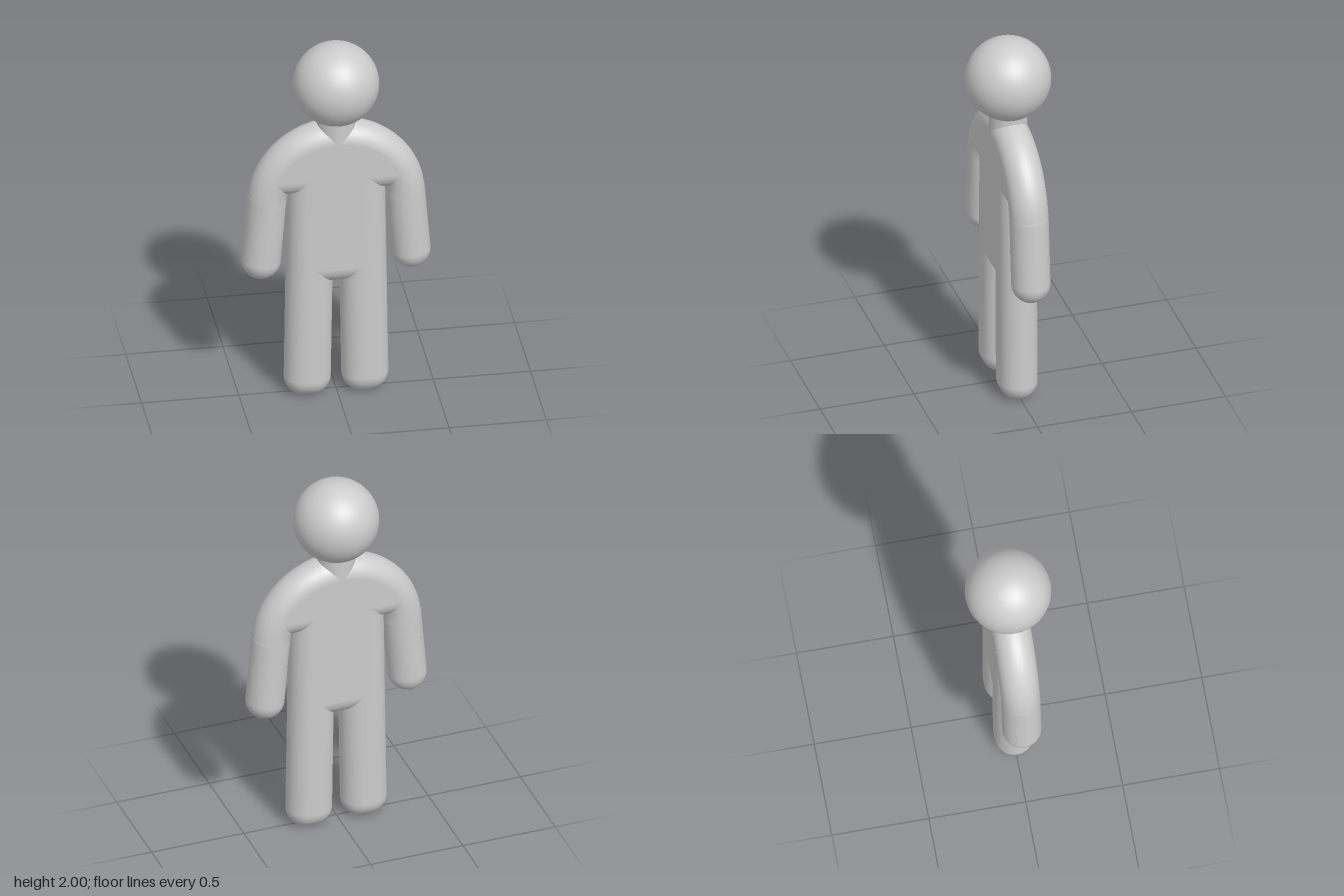
import * as THREE from 'three';

const R = 0.1;          // half thickness of the whole body
const SHOULDER_Y = 1.115; // centre of the shoulder arc
const ARC = 0.355;      // radius of the shoulder arc's centre line

export function createModel() {
  const group = new THREE.Group();
  const material = new THREE.MeshStandardMaterial({ color: 0xcccccc });

  const add = (name, geometry, x = 0, y = 0, z = 0) => {
    const mesh = new THREE.Mesh(geometry, material);
    mesh.name = name;
    mesh.position.set(x, y, z);
    group.add(mesh);
    return mesh;
  };

  // Capsule between two points in the xy plane; widen flattens it into a stadium section
  const limb = (name, x0, y0, x1, y1, widen = 0) => {
    const dx = x0 - x1, dy = y0 - y1;
    const geometry = new THREE.CapsuleGeometry(R, Math.hypot(dx, dy), 12, 40);
    const p = geometry.attributes.position;
    for (let i = 0; i < p.count; i++) {
      const x = p.getX(i);
      p.setX(i, x + widen * THREE.MathUtils.clamp(x / 0.015, -1, 1));
    }
    geometry.rotateZ(-Math.atan2(dx, dy));
    geometry.translate((x0 + x1) / 2, (y0 + y1) / 2, 0);
    // Soles are flattened on the ground
    for (let i = 0; i < p.count; i++) p.setY(i, Math.max(0, p.getY(i)));
    return add(name, geometry);
  };

  // Horizontal rounded lower edge
  const roundedEdge = (name, length, y) =>
    add(name, new THREE.CylinderGeometry(R, R, length, 40).rotateZ(Math.PI / 2), 0, y);

  // Head and neck
  add('head', new THREE.SphereGeometry(0.22, 48, 32), 0, 1.78);
  add('neck', new THREE.CylinderGeometry(R, R, 0.25, 40), 0, 1.475);

  // Shoulders: rounded arc, flat chest plate and rounded underside
  add('shoulderArc', new THREE.TorusGeometry(ARC, R, 32, 64, Math.PI), 0, SHOULDER_Y);
  const chestY = 1.27;
  const start = Math.asin((chestY - SHOULDER_Y) / ARC);
  const chest = new THREE.Shape();
  chest.absarc(0, SHOULDER_Y, ARC, start, Math.PI - start, false);
  chest.closePath();
  add('chest', new THREE.ExtrudeGeometry(chest, { depth: 2 * R, bevelEnabled: false, curveSegments: 48 }), 0, 0, -R);
  roundedEdge('chestUnderside', 2 * ARC * Math.cos(start), chestY);

  // Torso between the legs, with a rounded crotch
  add('torso', new THREE.BoxGeometry(0.27, 0.555, 2 * R), 0, 1.0225);
  roundedEdge('crotch', 0.26, 0.745);

  // Arms and legs, mirrored
  for (const [side, s] of [['left', 1], ['right', -1]]) {
    limb(side + 'Arm', s * 0.355, 1.145, s * 0.385, 0.785);
    limb(side + 'Leg', s * 0.13, 1.28, s * 0.148, 0.09, 0.02);
  }
  return group;
}
